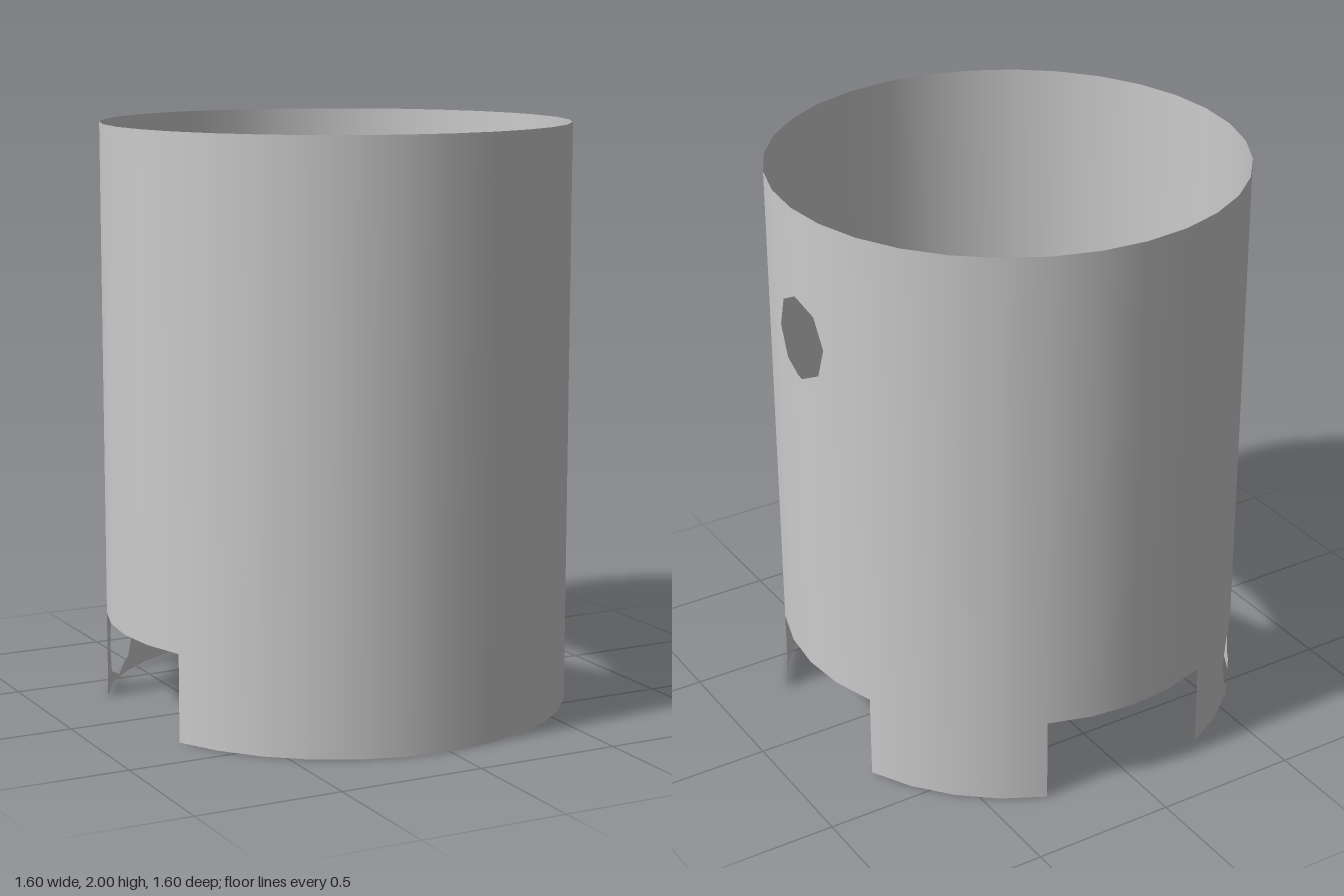
import * as THREE from 'three';

const R = 0.8, TOP = 2, SIDES = 32;
const STEP = (Math.PI * 2) / SIDES;
const START = -Math.PI / 4;
const NOTCH_HEIGHT = 0.3, NOTCH_HALF = 2 * STEP;
const NOTCHES = [0, Math.PI, Math.PI * 1.5]; // +x, -x and back

// Octagonal hole as points of (angle around the wall, height)
function octagon(angle, y, radius, turn) {
  return Array.from({ length: 8 }, (_, i) => {
    const t = turn + (i * Math.PI) / 4;
    return [angle - (radius * Math.cos(t)) / R, y + radius * Math.sin(t)];
  });
}

// Lower and upper edge of a hole at a given angle
function span(hole, a) {
  const ys = [];
  hole.forEach((p, i) => {
    const q = hole[(i + 1) % hole.length];
    const d = q[0] - p[0];
    if (Math.abs(d) < 1e-6) {
      if (Math.abs(a - p[0]) < 1e-5) ys.push(p[1], q[1]);
      return;
    }
    const t = (a - p[0]) / d;
    if (t > -1e-4 && t < 1 + 1e-4) ys.push(p[1] + t * (q[1] - p[1]));
  });
  return [Math.min(...ys), Math.max(...ys)];
}

// Point on the flat facet that contains the angle
function wallPoint(a, y) {
  const k = Math.floor((a - START) / STEP + 1e-6);
  const a0 = START + k * STEP, a1 = a0 + STEP, t = (a - a0) / STEP;
  return [
    R * THREE.MathUtils.lerp(Math.cos(a0), Math.cos(a1), t), y,
    R * THREE.MathUtils.lerp(Math.sin(a0), Math.sin(a1), t),
  ];
}

function wallGeometry() {
  const holes = [
    octagon(-0.014, 1.55, 0.144, 0.08),
    octagon(THREE.MathUtils.degToRad(219.5), 0.155, 0.143, 0),
  ];

  // Vertical cuts at every facet edge and every hole corner
  let cuts = Array.from({ length: SIDES + 1 }, (_, i) => START + i * STEP);
  holes.forEach((hole) => hole.forEach((p) => cuts.push(p[0])));
  cuts = cuts.sort((a, b) => a - b).filter((a, i, all) => i === 0 || a - all[i - 1] > 1e-5);

  const positions = [], normals = [];
  const quad = (a0, a1, lo0, lo1, hi0, hi1) => {
    for (const [a, y] of [[a0, lo0], [a0, hi0], [a1, hi1], [a0, lo0], [a1, hi1], [a1, lo1]]) {
      positions.push(...wallPoint(a, y));
      normals.push(Math.cos(a), 0, Math.sin(a));
    }
  };

  for (let i = 0; i < cuts.length - 1; i++) {
    const a0 = cuts[i], a1 = cuts[i + 1], mid = (a0 + a1) / 2;
    const base = NOTCHES.some((n) => Math.abs(mid - n) < NOTCH_HALF) ? NOTCH_HEIGHT : 0;
    const hole = holes.find((h) => {
      const angles = h.map((p) => p[0]);
      return mid > Math.min(...angles) && mid < Math.max(...angles);
    });
    if (!hole) {
      quad(a0, a1, base, base, TOP, TOP);
      continue;
    }
    const [lo0, hi0] = span(hole, a0), [lo1, hi1] = span(hole, a1);
    quad(a0, a1, base, base, lo0, lo1);
    quad(a0, a1, hi0, hi1, TOP, TOP);
  }

  const geometry = new THREE.BufferGeometry();
  geometry.setAttribute('position', new THREE.Float32BufferAttribute(positions, 3));
  geometry.setAttribute('normal', new THREE.Float32BufferAttribute(normals, 3));
  return geometry;
}

export function createModel() {
  const group = new THREE.Group();
  group.name = 'notchedTube';
  // Thin open tube with three foot notches and two round holes
  const wall = new THREE.Mesh(
    wallGeometry(),
    new THREE.MeshStandardMaterial({ color: 0xcccccc, side: THREE.DoubleSide }),
  );
  wall.name = 'tubeWall';
  group.add(wall);
  return group;
}
